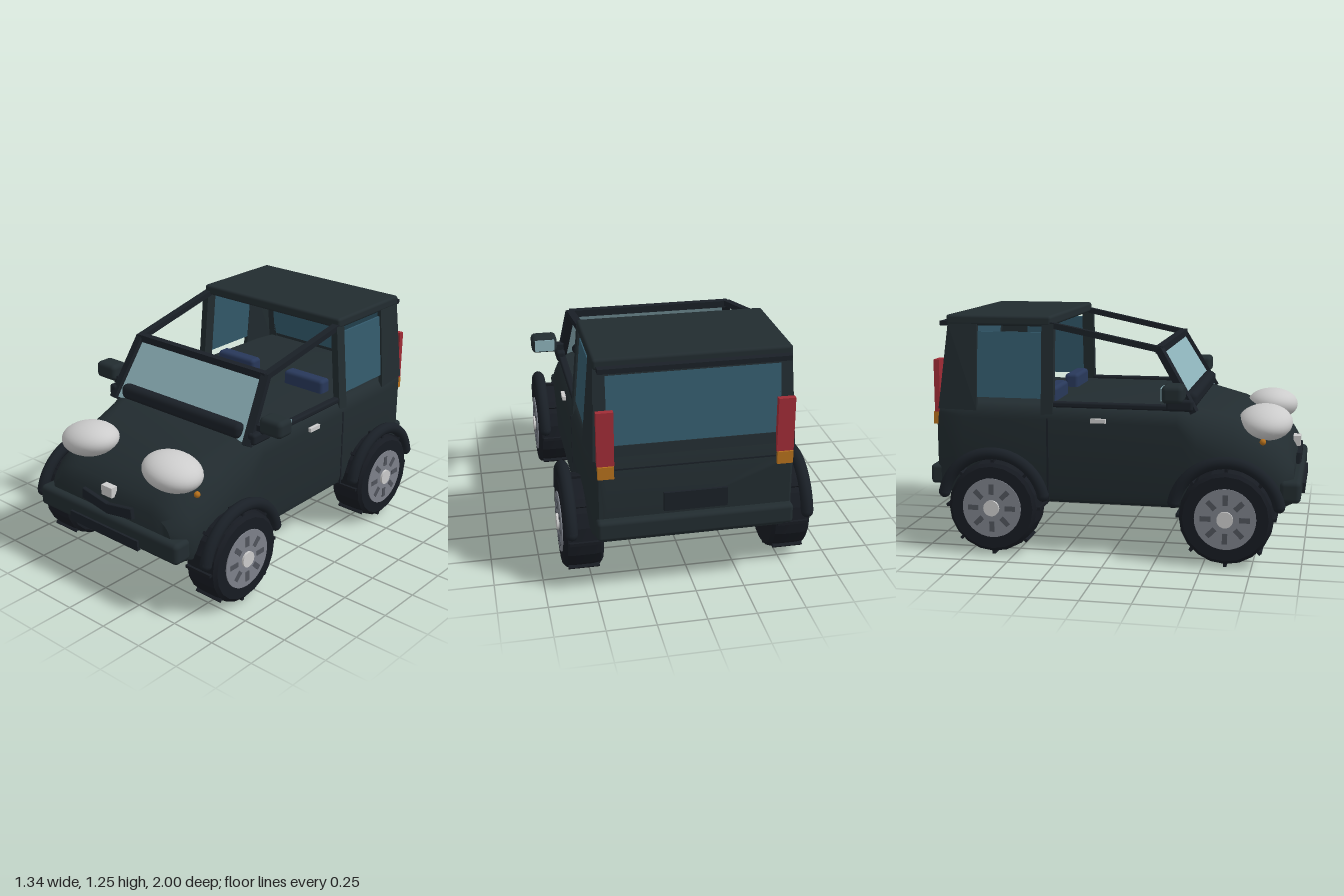
import * as THREE from 'three';
import { toCreasedNormals } from 'three/addons/utils/BufferGeometryUtils.js';
import { RoundedBoxGeometry } from 'three/addons/geometries/RoundedBoxGeometry.js';
import { ConvexGeometry } from 'three/addons/geometries/ConvexGeometry.js';

const mat = (color) => new THREE.MeshStandardMaterial({ color });
const paint = mat(0x222c30), trim = mat(0x1a2027), rubber = mat(0x171b22), grey = mat(0xcccccc);
const rimGrey = mat(0x7d818a), slotGrey = mat(0x50545c), glass = mat(0x335a6c), screen = mat(0x8db2ba);
const red = mat(0xa02c36), amber = mat(0xb5701c), seatBlue = mat(0x28385a);

const V = (x, y, z) => new THREE.Vector3(x, y, z);

function add(parent, name, geometry, material, x = 0, y = 0, z = 0) {
  const mesh = new THREE.Mesh(geometry, material);
  mesh.name = name;
  mesh.position.set(x, y, z);
  parent.add(mesh);
  return mesh;
}
const box = (w, h, d) => new THREE.BoxGeometry(w, h, d);
const rounded = (w, h, d, r) => new RoundedBoxGeometry(w, h, d, 3, r);

// Square bar between two points
function bar(parent, name, a, b, w, h, material) {
  const m = add(parent, name, box(w, h, a.distanceTo(b)), material);
  m.position.copy(a).add(b).multiplyScalar(0.5);
  m.lookAt(b);
  return m;
}

// Flat panel: corner points given a thickness along an offset
const slab = (corners, offset) => new ConvexGeometry([...corners, ...corners.map((c) => c.clone().add(offset))]);

// Body shell lofted along z; each section: z, half width, bottom, top, shoulder width, shoulder height
function bodyGeometry() {
  const sections = [
    [-0.955, 0.48, 0.33, 0.72, 0.04, 0.05],
    [-0.935, 0.495, 0.3, 0.79, 0.05, 0.07],
    [-0.8, 0.52, 0.27, 0.79, 0.05, 0.08],
    [-0.3, 0.53, 0.265, 0.79, 0.05, 0.08],
    [0.35, 0.53, 0.265, 0.79, 0.06, 0.09],
    [0.45, 0.53, 0.265, 0.785, 0.15, 0.2],
    [0.63, 0.525, 0.265, 0.745, 0.2, 0.24],
    [0.76, 0.515, 0.27, 0.69, 0.22, 0.24],
    [0.85, 0.505, 0.28, 0.635, 0.22, 0.22],
    [0.91, 0.48, 0.29, 0.58, 0.2, 0.18],
    [0.945, 0.43, 0.31, 0.52, 0.14, 0.1],
  ];
  const pos = [], idx = [];
  let n = 0;
  for (const [z, w, yb, yt, rx, ry] of sections) {
    const half = [[w - 0.04, yb], [w - 0.01, yb + 0.02], [w, yb + 0.06]];
    for (let k = 0; k <= 8; k++) {
      const a = (k / 8) * Math.PI / 2;
      half.push([w - rx + rx * Math.cos(a), yt - ry + ry * Math.sin(a)]);
    }
    const ring = [...half, ...half.map(([x, y]) => [-x, y]).reverse()];
    n = ring.length;
    ring.forEach(([x, y]) => pos.push(x, y, z));
  }
  const last = (sections.length - 1) * n;
  for (let i = 0; i < last; i += n) {
    for (let j = 0; j < n; j++) {
      const k = (j + 1) % n;
      idx.push(i + j, i + k, i + n + k, i + j, i + n + k, i + n + j);
    }
  }
  for (let j = 1; j < n - 1; j++) idx.push(0, j + 1, j, last, last + j, last + j + 1);
  const g = new THREE.BufferGeometry();
  g.setAttribute('position', new THREE.Float32BufferAttribute(pos, 3));
  g.setIndex(idx);
  return toCreasedNormals(g, 0.6);
}

// Wheel with its outer face towards +x
function wheel() {
  const g = new THREE.Group();
  g.name = 'wheel';
  const profile = [[0, -0.1], [0.22, -0.1], [0.238, -0.085], [0.243, -0.05], [0.243, 0.05],
    [0.238, 0.085], [0.22, 0.1], [0.15, 0.1]].map(([r, y]) => new THREE.Vector2(r, y));
  const tyre = new THREE.LatheGeometry(profile, 20).rotateZ(-Math.PI / 2);
  add(g, 'tyre', toCreasedNormals(tyre, 0.25), rubber);
  const disc = (r, len) => new THREE.CylinderGeometry(r, r, len, 32).rotateZ(Math.PI / 2);
  add(g, 'rim', disc(0.158, 0.03), rimGrey, 0.09);
  add(g, 'hubCap', disc(0.042, 0.04), grey, 0.097);
  for (let i = 0; i < 8; i++) {
    const a = (i * Math.PI) / 4, c = Math.cos(a), s = Math.sin(a);
    add(g, 'rimSlot', box(0.012, 0.055, 0.027), slotGrey, 0.103, 0.1 * c, 0.1 * s).rotation.x = a;
    add(g, 'treadLug', box(0.16, 0.03, 0.016), rubber, 0, 0.241 * c, 0.241 * s).rotation.x = a;
  }
  return g;
}

export function createModel() {
  const car = new THREE.Group();
  car.name = 'car';
  add(car, 'body', bodyGeometry(), paint);

  // Front end
  add(car, 'frontBumper', rounded(1.01, 0.115, 0.11, 0.025), paint, 0, 0.372, 0.93);
  add(car, 'frontLip', slab([V(-0.49, 0.33, 0.97), V(0.49, 0.33, 0.97), V(0.44, 0.27, 0.88), V(-0.44, 0.27, 0.88)],
    V(0, 0, -0.15)), paint);
  add(car, 'frontPlate', box(0.5, 0.055, 0.02), trim, 0, 0.342, 0.988);
  add(car, 'nose', box(0.076, 0.055, 0.04), grey, 0, 0.552, 0.942);
  const mouth = new THREE.Shape([[-0.18, 0.46], [0, 0.43], [0.18, 0.46], [0.175, 0.51], [0, 0.48], [-0.175, 0.51]]
    .map(([x, y]) => new THREE.Vector2(x, y)));
  add(car, 'mouth', new THREE.ExtrudeGeometry(mouth, { depth: 0.05, bevelSize: 0.004, bevelThickness: 0.006, bevelSegments: 2 }),
    trim, 0, 0, 0.912);
  add(car, 'cowl', rounded(0.86, 0.085, 0.07, 0.03), trim, 0, 0.822, 0.405);

  // Windscreen and its frame
  const top = V(0, 1.085, 0.245), foot = V(0, 0.78, 0.43);
  const at = (p, x) => V(x, p.y, p.z);
  add(car, 'windscreen', slab([at(foot, -0.46), at(foot, 0.46), at(top, 0.43), at(top, -0.43)], V(0, -0.005, -0.01)), screen);
  bar(car, 'windscreenTopBar', at(top, -0.455), at(top, 0.455), 0.04, 0.038, trim);

  // Roof and tail
  add(car, 'roof', rounded(0.975, 0.055, 0.57, 0.015), paint, 0, 1.223, -0.605);
  add(car, 'roofSpoiler', box(0.94, 0.025, 0.1), trim, 0, 1.203, -0.88);
  const rearZ = (y) => -0.935 + 0.13 * (y - 0.79);
  const rear = (x, y, out = 0) => V(x, y, rearZ(y) - out);
  const rearPanel = (name, x0, x1, y0, y1, m, out = 0) => add(car, name,
    slab([rear(x0, y0, out), rear(x1, y0, out), rear(x1, y1, out), rear(x0, y1, out)], V(0, 0, 0.02)), m);
  rearPanel('rearWindow', -0.43, 0.43, 0.81, 1.17, glass);
  rearPanel('rearWindowSill', -0.48, 0.48, 0.76, 0.82, paint, 0.004);
  rearPanel('rearWindowHeader', -0.46, 0.46, 1.165, 1.2, paint);
  add(car, 'tailgateSeam', box(0.8, 0.008, 0.01), trim, 0, 0.705, -0.954);
  add(car, 'rearPlate', box(0.32, 0.1, 0.025), trim, 0, 0.51, -0.957);
  add(car, 'rearBumper', rounded(0.99, 0.105, 0.08, 0.02), paint, 0, 0.388, -0.957);

  // Mirrored parts
  const sideX = (y) => 0.522 - 0.085 * (y - 0.78);
  for (const s of [-1, 1]) {
    const side = new THREE.Group();
    side.name = s > 0 ? 'leftSide' : 'rightSide';
    car.add(side);
    const S = (y, z, inset = 0) => V(s * (sideX(y) - inset), y, z);

    for (const z of [0.615, -0.61]) {
      const w = wheel();
      w.position.set(s * 0.54, 0.255, z);
      if (s < 0) w.rotation.y = Math.PI;
      side.add(w);
      const arch = new THREE.TorusGeometry(0.275, 0.032, 10, 32, Math.PI * 0.86)
        .rotateZ(Math.PI * 0.07).rotateY(Math.PI / 2);
      add(side, 'wheelArch', arch, trim, s * 0.608, 0.265, z);
      for (const e of [-1, 1]) {
        add(side, 'wheelArchEnd', new THREE.SphereGeometry(0.032, 10, 8), trim, s * 0.608,
          0.265 + 0.275 * Math.sin(Math.PI * 0.07), z + e * 0.275 * Math.cos(Math.PI * 0.07));
      }
    }

    // Headlights and indicators
    const lamp = add(side, 'headlight', new THREE.SphereGeometry(1, 32, 20), grey, s * 0.3, 0.7, 0.785);
    lamp.scale.set(0.167, 0.09, 0.143);
    lamp.rotation.z = -s * 0.12;
    add(side, 'frontIndicator', new THREE.SphereGeometry(0.017, 10, 8), amber, s * 0.465, 0.625, 0.785);
    add(side, 'tailLight', box(0.085, 0.28, 0.03), red, s * 0.445, 0.87, -0.95);
    add(side, 'rearIndicator', box(0.08, 0.065, 0.03), amber, s * 0.445, 0.697, -0.958);

    // Pillars, rails and side glass
    bar(side, 'windscreenPillar', V(s * 0.485, 0.77, 0.435), V(s * 0.45, 1.09, 0.245), 0.045, 0.035, trim);
    bar(side, 'roofRail', V(s * 0.45, 1.085, 0.255), V(s * 0.465, 1.205, -0.33), 0.04, 0.03, trim);
    add(side, 'doorPillar', slab([S(0.73, -0.305), S(0.73, -0.37), S(1.21, -0.37), S(1.21, -0.305)], V(-s * 0.04, 0, 0)), paint);
    add(side, 'sideWindow', slab([S(0.82, -0.37, 0.01), S(0.82, -0.725, 0.01), S(1.165, -0.725, 0.01), S(1.165, -0.37, 0.01)],
      V(-s * 0.012, 0, 0)), glass);
    add(side, 'rearPillar', slab([S(0.75, -0.72), S(0.75, -0.938, 0.022), S(1.205, -0.88), S(1.205, -0.72)],
      V(-s * 0.025, 0, 0)), paint);
    add(side, 'rearCorner', slab([rear(s * 0.42, 0.75), rear(s * 0.5, 0.75), rear(s * 0.484, 1.205), rear(s * 0.42, 1.205)],
      V(0, 0, 0.02)), paint);
    add(side, 'beltRail', rounded(0.04, 0.03, 0.74, 0.01), trim, s * 0.497, 0.793, 0.055);

    // Door details
    add(side, 'doorSeam', box(0.01, 0.44, 0.01), trim, s * 0.527, 0.5, -0.335);
    add(side, 'doorHandle', box(0.025, 0.022, 0.08), grey, s * 0.535, 0.718, -0.06);
    add(side, 'mirrorBase', rounded(0.05, 0.06, 0.14, 0.015), trim, s * 0.505, 0.808, 0.36);
    add(side, 'mirrorArm', box(0.06, 0.04, 0.05), trim, s * 0.515, 0.85, 0.35);
    add(side, 'mirrorHousing', rounded(0.142, 0.092, 0.11, 0.025), paint, s * 0.597, 0.884, 0.343);
    add(side, 'mirrorGlass', box(0.11, 0.065, 0.006), screen, s * 0.597, 0.884, 0.287);

    // Seat backs showing above the cabin deck
    add(side, 'seatBack', rounded(0.27, 0.12, 0.08, 0.02), seatBlue, s * 0.25, 0.805, -0.36);
  }
  return car;
}
